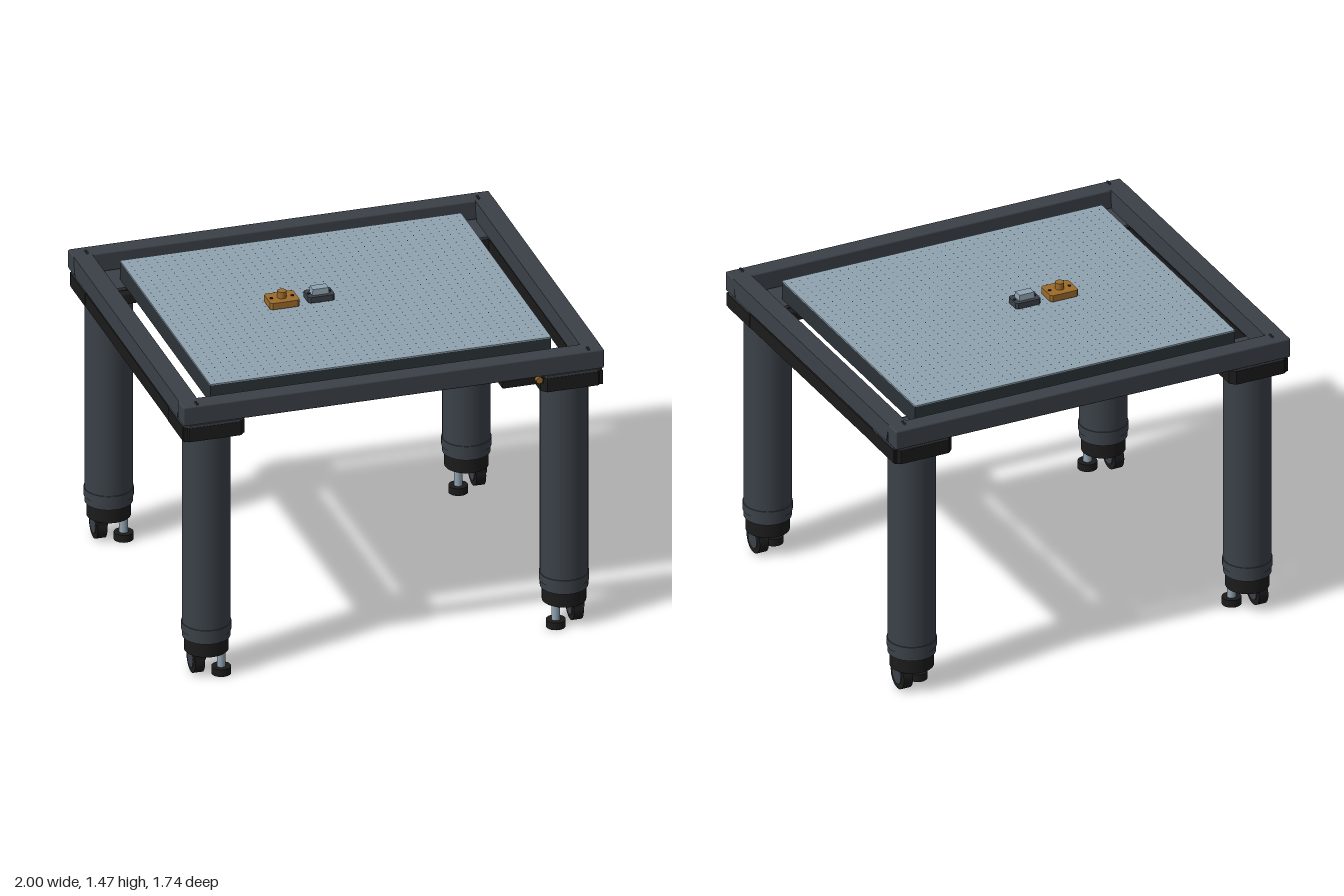
import * as THREE from 'three';
import { mergeGeometries } from 'three/addons/utils/BufferGeometryUtils.js';
import { RoundedBoxGeometry } from 'three/addons/geometries/RoundedBoxGeometry.js';

const mat = (name, color) => {
  const m = new THREE.MeshStandardMaterial({ color });
  m.name = name;
  return m;
};

export function createModel() {
  const root = new THREE.Group();
  root.name = 'isolationTable';
  const frameGrey = mat('frameGrey', 0x3b4148);
  const black = mat('black', 0x1b1b1b);
  const steel = mat('steelTop', 0x90a3b1);
  const core = mat('darkCore', 0x2b3237);
  const bronze = mat('bronze', 0x9c6b2a);
  const hole = mat('holeDark', 0x262c31);

  const add = (parent, name, geo, m, x = 0, y = 0, z = 0) => {
    const mesh = new THREE.Mesh(geo, m);
    mesh.name = name;
    mesh.position.set(x, y, z);
    parent.add(mesh);
    return mesh;
  };
  // Box given by its limits
  const box = (parent, name, m, x0, x1, y0, y1, z0, z1) =>
    add(parent, name, new THREE.BoxGeometry(x1 - x0, y1 - y0, z1 - z0), m,
      (x0 + x1) / 2, (y0 + y1) / 2, (z0 + z1) / 2);
  const rounded = (parent, name, m, x0, x1, y0, y1, z0, z1, r) =>
    add(parent, name, new RoundedBoxGeometry(x1 - x0, y1 - y0, z1 - z0, 2, r), m,
      (x0 + x1) / 2, (y0 + y1) / 2, (z0 + z1) / 2);
  const cyl = (parent, name, m, r, y0, y1, x = 0, z = 0, n = 32) =>
    add(parent, name, new THREE.CylinderGeometry(r, r, y1 - y0, n), m, x, (y0 + y1) / 2, z);

  // Guard frame around the top
  const frame = new THREE.Group();
  frame.name = 'guardFrame';
  root.add(frame);
  rounded(frame, 'frameFrontBar', frameGrey, -1, 1, 1.305, 1.4, 0.767, 0.855, 0.008);
  rounded(frame, 'frameBackBar', frameGrey, -1, 1, 1.305, 1.4, -0.87, -0.783, 0.008);
  // Side bars have undercut ends that leave a narrow wedge gap at the corners
  const sideShape = new THREE.Shape([
    [-0.758, 1.305], [0.768, 1.305], [0.79, 1.385], [0.79, 1.399], [-0.775, 1.399], [-0.775, 1.385],
  ].map(([a, b]) => new THREE.Vector2(a, b)));
  for (const s of [-1, 1]) {
    const sideBar = new THREE.ExtrudeGeometry(sideShape, { depth: 0.088, bevelEnabled: false });
    sideBar.rotateY(Math.PI / 2);
    add(frame, 'frameSideBar', sideBar, frameGrey, s * 0.954 - 0.044, 0, 0);
    for (const z of [-0.82, -0.8, 0.82, 0.84]) {
      cyl(frame, 'frameBolt', frameGrey, 0.006, 1.395, 1.407, s * 0.93, z, 10);
    }
    // Tie rails between the front and back legs
    box(root, 'sideRail', black, s * 0.955 - 0.04, s * 0.955 + 0.04, 1.225, 1.293, -0.85, 0.85);
  }

  // Breadboard top with a grid of tapped holes
  const top = new THREE.Group();
  top.name = 'breadboard';
  root.add(top);
  box(top, 'breadboardCore', core, -0.81, 0.81, 1.305, 1.394, -0.685, 0.66);
  box(top, 'breadboardSheet', steel, -0.81, 0.81, 1.394, 1.4, -0.685, 0.66);
  box(top, 'backBeam', black, -0.85, 0.845, 1.24, 1.3, -0.75, -0.685);
  const dots = [];
  for (let i = 0; i < 39; i++) {
    for (let j = 0; j < 32; j++) {
      const d = new THREE.CircleGeometry(0.0036, 6);
      d.rotateX(-Math.PI / 2);
      d.translate(-0.779 + i * 0.041, 1.4012, -0.648 + j * 0.041);
      dots.push(d);
    }
  }
  add(top, 'tappedHoles', mergeGeometries(dots), hole);

  // Leg cap outline with chamfered corners
  const capShape = (hx, hz, c) => {
    const s = new THREE.Shape();
    s.moveTo(-hx + c, -hz);
    s.lineTo(hx - c, -hz);
    s.lineTo(hx, -hz + c);
    s.lineTo(hx, hz - c);
    s.lineTo(hx - c, hz);
    s.lineTo(-hx + c, hz);
    s.lineTo(-hx, hz - c);
    s.lineTo(-hx, -hz + c);
    s.closePath();
    return s;
  };
  const slab = (hx, hz, c, depth) => new THREE.ExtrudeGeometry(capShape(hx, hz, c), {
    depth, bevelEnabled: false,
  }).rotateX(-Math.PI / 2);

  const makeLeg = (x, z, side, end) => {
    const leg = new THREE.Group();
    leg.name = 'leg';
    leg.position.set(x, 0, z);
    root.add(leg);
    // Cap, mounting plate and inner lug
    add(leg, 'legCap', slab(0.147, 0.133, 0.025, 0.068), black, 0, 1.225, 0);
    add(leg, 'mountPlate', slab(0.145, 0.131, 0.025, 0.012), frameGrey, 0, 1.293, 0);
    const lugZ = -end * 0.145;
    rounded(leg, 'capLug', black, -side * 0.065 - 0.085, -side * 0.065 + 0.085,
      1.235, 1.29, lugZ - 0.023, lugZ + 0.023, 0.01);
    // Column and collars
    cyl(leg, 'column', frameGrey, 0.11, 0.18, 1.225, 0, 0, 40);
    cyl(leg, 'upperCollar', frameGrey, 0.112, 1.2, 1.226, 0, 0, 40);
    cyl(leg, 'lowerCollar', frameGrey, 0.114, 0.212, 0.25, 0, 0, 40);
    cyl(leg, 'baseCup', black, 0.101, 0.11, 0.18, 0, 0, 40);
    // Levelling foot on a steel stem
    cyl(leg, 'footStem', steel, 0.02, 0.03, 0.112, -side * 0.055, 0.05, 16);
    cyl(leg, 'levellingFoot', black, 0.045, 0, 0.036, -side * 0.055, 0.05, 24);
    // Caster
    const wx = side * 0.05;
    const wheel = add(leg, 'casterWheel', new THREE.CylinderGeometry(0.067, 0.067, 0.046, 32), black, wx, 0.068, 0);
    wheel.rotation.z = Math.PI / 2;
    const hub = add(leg, 'casterHub', new THREE.CylinderGeometry(0.044, 0.044, 0.056, 28), frameGrey, wx, 0.07, 0);
    hub.rotation.z = Math.PI / 2;
    box(leg, 'casterFork', black, wx - 0.027, wx + 0.027, 0.085, 0.115, -0.03, 0.065);
  };
  for (const s of [-1, 1]) {
    makeLeg(s * 0.85, 0.725, s, 1);
    makeLeg(s * 0.85, -0.73, s, -1);
  }

  // Control box and knob under the front bar
  box(root, 'controlBox', black, 0.52, 0.72, 1.268, 1.305, 0.772, 0.845);
  const knob = add(root, 'controlKnob', new THREE.CylinderGeometry(0.016, 0.016, 0.025, 20), bronze, 0.69, 1.293, 0.853);
  knob.rotation.x = Math.PI / 2;

  // Bronze mount on the breadboard
  const mount = new THREE.Group();
  mount.name = 'bronzeMount';
  mount.position.set(-0.25, 0, -0.03);
  root.add(mount);
  add(mount, 'mountBase', slab(0.07, 0.054, 0.01, 0.032), bronze, 0, 1.406, 0);
  cyl(mount, 'mountPost', bronze, 0.021, 1.435, 1.47, 0, 0, 24);
  for (const s of [-1, 1]) cyl(mount, 'mountScrew', black, 0.008, 1.436, 1.441, s * 0.05, 0, 12);

  // Small grey sensor with a tapered steel window
  const sensor = new THREE.Group();
  sensor.name = 'sensor';
  sensor.position.set(-0.072, 0, -0.032);
  root.add(sensor);
  add(sensor, 'sensorBase', slab(0.063, 0.043, 0.01, 0.028), frameGrey, 0, 1.406, 0);
  const block = new THREE.CylinderGeometry(0.93 * Math.SQRT1_2, Math.SQRT1_2, 1, 4, 1).toNonIndexed();
  block.rotateY(Math.PI / 4);
  block.scale(0.08, 0.03, 0.048);
  block.computeVertexNormals();
  add(sensor, 'sensorWindow', block, steel, 0, 1.448, 0);
  for (const s of [-1, 1]) cyl(sensor, 'sensorScrew', black, 0.006, 1.432, 1.437, s * 0.051, 0, 12);

  return root;
}
